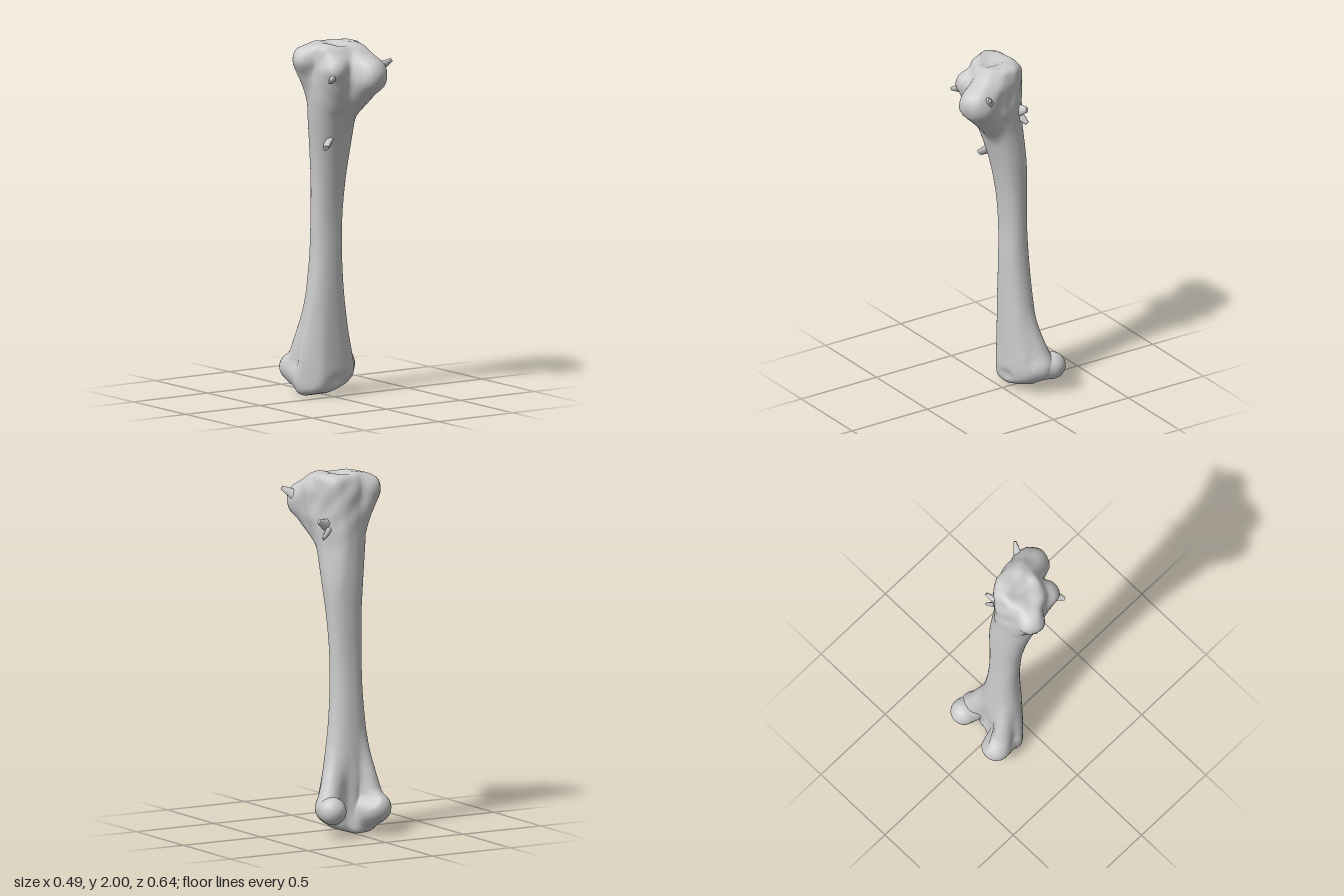
import * as THREE from 'three';
import { mergeVertices } from 'three/addons/utils/BufferGeometryUtils.js';

// shaft cross-sections: height, x min, x max, z min, z max
const SECTIONS = [
  [0.00, -0.14, 0.11, -0.20, -0.03],
  [0.06, -0.17, 0.15, -0.19, -0.01],
  [0.12, -0.175, 0.175, -0.18, 0.00],
  [0.20, -0.164, 0.175, -0.18, 0.00],
  [0.30, -0.148, 0.155, -0.185, 0.00],
  [0.40, -0.132, 0.135, -0.18, 0.00],
  [0.60, -0.11, 0.105, -0.165, 0.00],
  [0.80, -0.095, 0.09, -0.15, 0.00],
  [1.00, -0.095, 0.09, -0.137, 0.00],
  [1.20, -0.10, 0.10, -0.133, 0.02],
  [1.40, -0.12, 0.115, -0.13, 0.06],
  [1.60, -0.15, 0.122, -0.12, 0.125],
  [1.70, -0.162, 0.135, -0.118, 0.18],
  [1.80, -0.17, 0.14, -0.113, 0.21],
  [1.90, -0.17, 0.137, -0.105, 0.19],
  [2.00, -0.16, 0.13, -0.08, 0.14],
];

// tapered swellings of both joints: from (x, y, z, radius) to (x, y, z, radius)
const RIDGES = [
  [-0.08, 0.092, -0.14, 0.082, -0.102, 0.15, -0.235, 0.083], // rear condyle, right
  [-0.06, 0.55, -0.12, 0.028, -0.10, 0.22, -0.19, 0.057], // ridge above it
  [0.12, 0.14, -0.12, 0.075, 0.152, 0.15, -0.15, 0.076], // root of the left condyle
  [0.065, 0.50, -0.09, 0.03, 0.155, 0.17, -0.155, 0.068], // ridge above it
  [-0.085, 1.70, -0.04, 0.06, -0.168, 1.905, -0.032, 0.072], // neck and head
  [-0.165, 1.905, -0.03, 0.07, -0.14, 1.935, -0.02, 0.065], // top of the head
  [0.03, 1.60, 0.06, 0.06, 0.08, 1.82, 0.212, 0.10], // ridge to the tuberosity
  [0.08, 1.825, 0.21, 0.105, 0.06, 1.91, 0.12, 0.085], // tuberosity to the top
  [-0.05, 1.66, 0.09, 0.06, -0.10, 1.86, 0.15, 0.075], // front corner, right
  [0.095, 1.76, 0.08, 0.05, 0.09, 1.90, 0.09, 0.07], // left flank
  [0.06, 1.80, -0.035, 0.055, 0.06, 1.92, -0.03, 0.06], // rear corner, left
];

// hollows: centre, radii
const HOLLOWS = [
  [0.045, 0.19, -0.25, 0.042, 0.22, 0.077], // groove between the condyles
  [0.04, 0.09, 0.025, 0.06, 0.035, 0.035], // dip above the front joint edge
  [-0.025, 1.84, 0.29, 0.025, 0.09, 0.06], // groove beside the tuberosity
  [-0.03, 2.03, 0.06, 0.05, 0.055, 0.08], // dip in the top
  [0.19, 1.84, 0.02, 0.04, 0.06, 0.05], // dip in the left flank
];

// smooth interpolation of the shaft sections
function sectionAt(y) {
  const n = SECTIONS.length;
  let i = 0;
  while (i < n - 2 && y > SECTIONS[i + 1][0]) i++;
  const p = SECTIONS[i], q = SECTIONS[i + 1];
  const before = SECTIONS[Math.max(i - 1, 0)], after = SECTIONS[Math.min(i + 2, n - 1)];
  const h = q[0] - p[0];
  const t = THREE.MathUtils.clamp((y - p[0]) / h, 0, 1);
  return [1, 2, 3, 4].map((k) => {
    const m0 = (q[k] - before[k]) / (q[0] - before[0]) * h;
    const m1 = (after[k] - p[k]) / (after[0] - p[0]) * h;
    const t2 = t * t, t3 = t2 * t;
    return (2 * t3 - 3 * t2 + 1) * p[k] + (t3 - 2 * t2 + t) * m0
      + (3 * t2 - 2 * t3) * q[k] + (t3 - t2) * m1;
  });
}

function smoothMin(a, b, k) {
  const h = Math.max(k - Math.abs(a - b), 0) / k;
  return Math.min(a, b) - h * h * k / 4;
}
const smoothMax = (a, b, k) => -smoothMin(-a, -b, k);

function ellipsoid([cx, cy, cz, rx, ry, rz], x, y, z) {
  return (Math.hypot((x - cx) / rx, (y - cy) / ry, (z - cz) / rz) - 1) * Math.min(rx, ry, rz);
}

function taperedCapsule([ax, ay, az, ra, bx, by, bz, rb], x, y, z) {
  const dx = bx - ax, dy = by - ay, dz = bz - az;
  const along = ((x - ax) * dx + (y - ay) * dy + (z - az) * dz) / (dx * dx + dy * dy + dz * dz);
  const t = THREE.MathUtils.clamp(along, 0, 1);
  return Math.hypot(x - ax - dx * t, y - ay - dy * t, z - az - dz * t) - ra - (rb - ra) * t;
}

// negative inside the bone
function field(x, y, z) {
  const [x0, x1, z0, z1] = sectionAt(y);
  const rx = (x1 - x0) / 2, rz = (z1 - z0) / 2;
  const u = Math.abs(x - (x0 + x1) / 2) / rx, v = Math.abs(z - (z0 + z1) / 2) / rz;
  let d = (Math.pow(u ** 2.25 + v ** 2.25, 1 / 2.25) - 1) * Math.min(rx, rz);
  for (const ridge of RIDGES) d = smoothMin(d, taperedCapsule(ridge, x, y, z), 0.025);
  for (const hollow of HOLLOWS) d = smoothMax(d, -ellipsoid(hollow, x, y, z), 0.03);
  // bevelled corners: lower front right and upper rear left
  const diagonal = (x - z) * Math.SQRT1_2;
  d = smoothMax(d, -diagonal - 0.054 - 0.5 * Math.max(y - 0.5, 0), 0.02);
  d = smoothMax(d, diagonal - 0.107 - 0.15 * Math.max(1.6 - y, 0), 0.02);
  // slanted lower joint face and flat upper joint face
  d = smoothMax(d, 0.004 + 0.28 * Math.max(x, 0) - y + 0.25 * Math.max(z + 0.12, 0), 0.03);
  d = smoothMax(d, y - 1.996 + 0.3 * Math.max(-z - 0.05, 0), 0.03);
  // roughness of the upper joint
  const rough = THREE.MathUtils.smoothstep(y, 1.6, 1.8);
  return d + 0.005 * rough * Math.sin(38 * x + 9 * y) * Math.sin(31 * y + 20 * z) * Math.cos(34 * z - 12 * x);
}

// distance from a point on the spine to the surface
function reach(o, d) {
  const f = (t) => field(o.x + d.x * t, o.y + d.y * t, o.z + d.z * t);
  let a = 0, b = 0.01;
  while (b < 0.5 && f(b) < 0) { a = b; b += 0.01; }
  for (let i = 0; i < 10; i++) {
    const m = (a + b) / 2;
    if (f(m) < 0) a = m; else b = m;
  }
  return a;
}

function boneGeometry() {
  const cols = 72, capRows = 18, shaftRows = 90, low = 0.13, high = 1.86;
  const rows = [];
  for (let i = 0; i < capRows; i++) rows.push([low, -Math.PI / 2 * (1 - i / capRows)]);
  for (let i = 0; i <= shaftRows; i++) rows.push([low + (high - low) * i / shaftRows, 0]);
  for (let i = 1; i <= capRows; i++) rows.push([high, Math.PI / 2 * i / capRows]);

  const pos = [], index = [];
  const o = new THREE.Vector3(), d = new THREE.Vector3();
  rows.forEach(([y, tilt], r) => {
    const [x0, x1, z0, z1] = sectionAt(y);
    o.set((x0 + x1) / 2, y, (z0 + z1) / 2);
    for (let c = 0; c < cols; c++) {
      const a = c / cols * Math.PI * 2;
      d.set(Math.cos(a) * Math.cos(tilt), Math.sin(tilt), Math.sin(a) * Math.cos(tilt));
      const p = d.clone().multiplyScalar(reach(o, d)).add(o);
      pos.push(p.x, p.y, p.z);
      if (r === rows.length - 1) continue;
      const i = r * cols + c, j = r * cols + (c + 1) % cols;
      index.push(i, i + cols, j, j, i + cols, j + cols);
    }
  });
  let g = new THREE.BufferGeometry();
  g.setAttribute('position', new THREE.Float32BufferAttribute(pos, 3));
  g.setIndex(index);
  g = mergeVertices(g, 1e-5);
  g.computeVertexNormals();
  return g;
}

// mesh of a y-long geometry laid from one point to another
function between(name, from, to, makeGeometry, material) {
  const a = new THREE.Vector3(...from), b = new THREE.Vector3(...to);
  const dir = b.clone().sub(a);
  const mesh = new THREE.Mesh(makeGeometry(dir.length()), material);
  mesh.name = name;
  mesh.position.copy(a).add(b).multiplyScalar(0.5);
  mesh.quaternion.setFromUnitVectors(new THREE.Vector3(0, 1, 0), dir.normalize());
  return mesh;
}

// small flattened splinter
const splinter = (radius, tip) => (length) =>
  new THREE.CylinderGeometry(tip, radius, length, 7, 3).scale(1, 1, 0.6);

export function createModel() {
  const group = new THREE.Group();
  group.name = 'longBone';
  const material = new THREE.MeshStandardMaterial({ color: 0xcccccc });

  const bone = new THREE.Mesh(boneGeometry(), material);
  bone.name = 'bone';
  group.add(bone);

  // knob of the left condyle
  group.add(between('leftCondyle', [0.14, 0.15, -0.13], [0.168, 0.15, -0.215],
    (length) => new THREE.CapsuleGeometry(0.076, length, 12, 28), material));

  group.add(
    between('leftFrontSpur', [0.15, 1.85, 0.19], [0.225, 1.90, 0.235], splinter(0.04, 0.012), material),
    between('rightFrontSpur', [-0.11, 1.83, 0.17], [-0.185, 1.81, 0.215], splinter(0.045, 0.012), material),
    between('leftRearSpur', [0.09, 1.72, -0.035], [0.16, 1.745, -0.055], splinter(0.04, 0.015), material),
    between('leftLowerSpur', [0.09, 1.69, -0.045], [0.14, 1.65, -0.07], splinter(0.03, 0.012), material),
    between('shaftSpur', [-0.05, 1.46, 0.03], [-0.11, 1.415, 0.08], splinter(0.045, 0.022), material),
  );
  return group;
}
